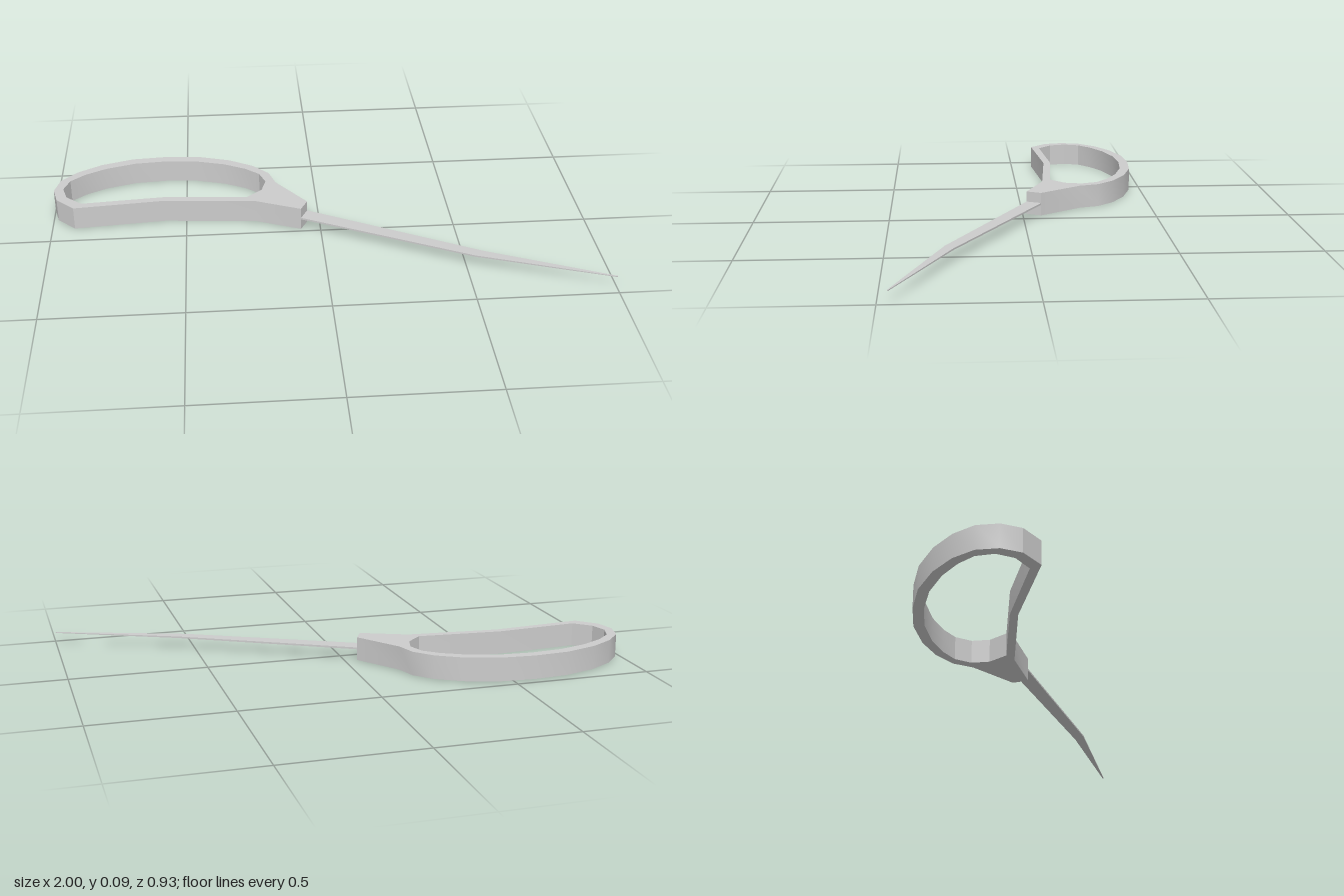
import * as THREE from 'three';
import { toCreasedNormals } from 'three/addons/utils/BufferGeometryUtils.js';

const HEIGHT = 0.087;
const CENTRE = -0.58; // x of the finger loop's mirror line

const points = (list) => list.map(([x, z]) => new THREE.Vector2(x, z));
const mirrored = (list) => list.map(([x, z]) => [2 * CENTRE - x, z]).reverse();

function createHandle(material) {
  // right half of the bow, from its crown round to the neck
  const outerArc = [[-0.45, -0.455], [-0.33, -0.417], [-0.24, -0.364], [-0.18, -0.3], [-0.157, -0.225]];
  const neck = [[-0.046, -0.068], [-0.073, -0.015], [-0.238, -0.086]];
  const outer = [
    [CENTRE, -0.465], ...outerArc, ...neck, [CENTRE, -0.116],
    [-0.917, -0.086], [-0.983, -0.152], [-1, -0.225], ...mirrored(outerArc.slice(0, 4)),
  ];
  const innerHalf = [
    [-0.46, -0.418], [-0.35, -0.385], [-0.27, -0.342], [-0.217, -0.296],
    [-0.195, -0.235], [-0.212, -0.172], [-0.27, -0.119],
  ];
  const inner = [[CENTRE, -0.428], ...innerHalf, [CENTRE, -0.144], ...mirrored(innerHalf)];

  const shape = new THREE.Shape(points(outer));
  shape.holes.push(new THREE.Path(points(inner)));
  const geometry = new THREE.ExtrudeGeometry(shape, { depth: HEIGHT, bevelEnabled: false });
  geometry.rotateX(Math.PI / 2).translate(0, HEIGHT, 0);
  const handle = new THREE.Mesh(toCreasedNormals(geometry, 0.5), material);
  handle.name = 'handle';
  return handle;
}

function createBlade(material) {
  // stations along the blade: back edge, cutting edge, half thickness
  const stations = [
    { back: [-0.06, -0.076], edge: [-0.087, -0.023], half: 0.0035 },
    { back: [0.564, 0.267], edge: [0.527, 0.294], half: 0.003 },
    { back: [1, 0.463], edge: [0.997, 0.466], half: 0.0015 },
  ];
  const geometry = new THREE.BoxGeometry(2, 1, 1, 2, 1, 1);
  const p = geometry.attributes.position;
  for (let i = 0; i < p.count; i++) {
    const s = stations[Math.round(p.getX(i) + 1)];
    const [x, z] = p.getZ(i) < 0 ? s.back : s.edge;
    p.setXYZ(i, x, 0.0445 + Math.sign(p.getY(i)) * s.half, z);
  }
  const blade = new THREE.Mesh(toCreasedNormals(geometry, 0.1), material);
  blade.name = 'blade';
  return blade;
}

export function createModel() {
  const material = new THREE.MeshStandardMaterial({ color: 0xcccccc });
  const group = new THREE.Group();
  group.name = 'scissorHalf';
  group.add(createHandle(material), createBlade(material));
  return group;
}
